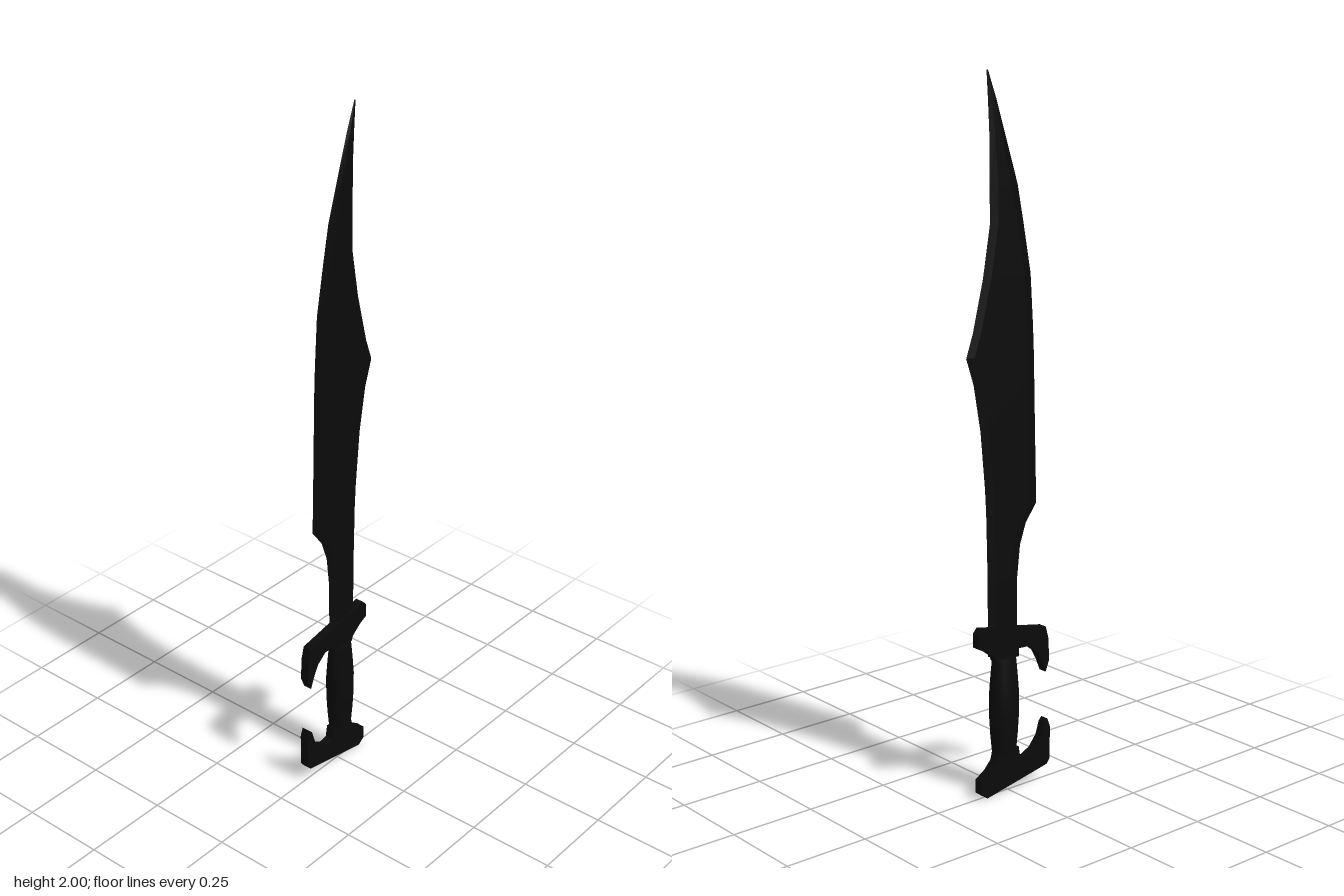
import * as THREE from 'three';
import { toCreasedNormals } from 'three/addons/utils/BufferGeometryUtils.js';

const material = new THREE.MeshStandardMaterial({ color: 0x0a0a0a });

function addMesh(group, name, geometry) {
  const mesh = new THREE.Mesh(geometry, material);
  mesh.name = name;
  group.add(mesh);
  return mesh;
}

// Flat fitting cut from an outline, centred on z = 0
function plate(points, depth) {
  const shape = new THREE.Shape(points.map(([x, y]) => new THREE.Vector2(x, y)));
  const geometry = new THREE.ExtrudeGeometry(shape, { depth, bevelEnabled: false });
  return geometry.translate(0, 0, -depth / 2);
}

// Closed loft through rings with equal numbers of points, counter-clockwise seen from below
function loft(rings) {
  const n = rings[0].length;
  const index = [];
  for (let r = 0; r < rings.length - 1; r++) {
    for (let i = 0; i < n; i++) {
      const a = r * n + i, b = r * n + (i + 1) % n;
      index.push(a, a + n, b, b, a + n, b + n);
    }
  }
  const last = (rings.length - 1) * n;
  for (let i = 1; i < n - 1; i++) {
    index.push(0, i, i + 1, last, last + i + 1, last + i);
  }
  const geometry = new THREE.BufferGeometry();
  geometry.setAttribute('position', new THREE.Float32BufferAttribute(rings.flat(2), 3));
  geometry.setIndex(index);
  return geometry;
}

// Blade section: sharp edges on both sides with a flat between the bevels
function bladeRing([y, left, right]) {
  const width = right - left;
  const bevel = Math.min(0.025, width * 0.3);
  const t = Math.min(0.005, width * 0.2);
  return [
    [left, y, 0], [left + bevel, y, -t], [right - bevel, y, -t],
    [right, y, 0], [right - bevel, y, t], [left + bevel, y, t],
  ];
}

export function createModel() {
  const sword = new THREE.Group();
  sword.name = 'sword';

  // Blade rows: height, back edge, cutting edge
  const rows = [
    [0.41, -0.034, 0.07], [0.62, -0.035, 0.072], [0.71, -0.045, 0.073],
    [0.77, -0.066, 0.075], [0.82, -0.104, 0.076], [0.89, -0.102, 0.08],
    [1.05, -0.098, 0.095], [1.18, -0.095, 0.118], [1.255, -0.093, 0.143],
    [1.32, -0.09, 0.12], [1.46, -0.081, 0.085], [1.6, -0.055, 0.061],
    [1.7, -0.035, 0.061], [1.84, 0.01, 0.062], [1.92, 0.036, 0.066],
    [2.0, 0.066, 0.071],
  ];
  addMesh(sword, 'blade', toCreasedNormals(loft(rows.map(bladeRing)), 0.1));

  // Guard with a hook curling down on one side
  addMesh(sword, 'guard', plate([
    [-0.13, 0.323], [-0.115, 0.36], [-0.098, 0.39], [-0.068, 0.414], [-0.03, 0.416],
    [-0.03, 0.393], [0.05, 0.393], [0.055, 0.407], [0.087, 0.432], [0.114, 0.445],
    [0.114, 0.485], [0.1, 0.5], [0.07, 0.493], [-0.035, 0.475], [-0.13, 0.457],
    [-0.14, 0.42], [-0.143, 0.355],
  ], 0.026));

  // Pommel with a matching hook curling up
  addMesh(sword, 'pommel', plate([
    [-0.138, 0.18], [-0.147, 0.155], [-0.147, 0.058], [-0.135, 0.043], [0.085, 0],
    [0.106, 0.015], [0.106, 0.055], [0.075, 0.075], [0.052, 0.1], [0.046, 0.125],
    [-0.03, 0.125], [-0.036, 0.09], [-0.06, 0.085], [-0.09, 0.1], [-0.115, 0.13],
    [-0.128, 0.17],
  ], 0.026));

  // Oval grip swelling in the middle
  const profile = [
    [0, 0.12], [0.038, 0.12], [0.043, 0.17], [0.047, 0.23], [0.047, 0.29],
    [0.043, 0.34], [0.037, 0.4], [0, 0.4],
  ].map(([r, y]) => new THREE.Vector2(r, y));
  const grip = new THREE.LatheGeometry(profile, 32).scale(1, 1, 0.72).translate(0.013, 0, 0);
  addMesh(sword, 'grip', toCreasedNormals(grip, 0.6));

  return sword;
}
